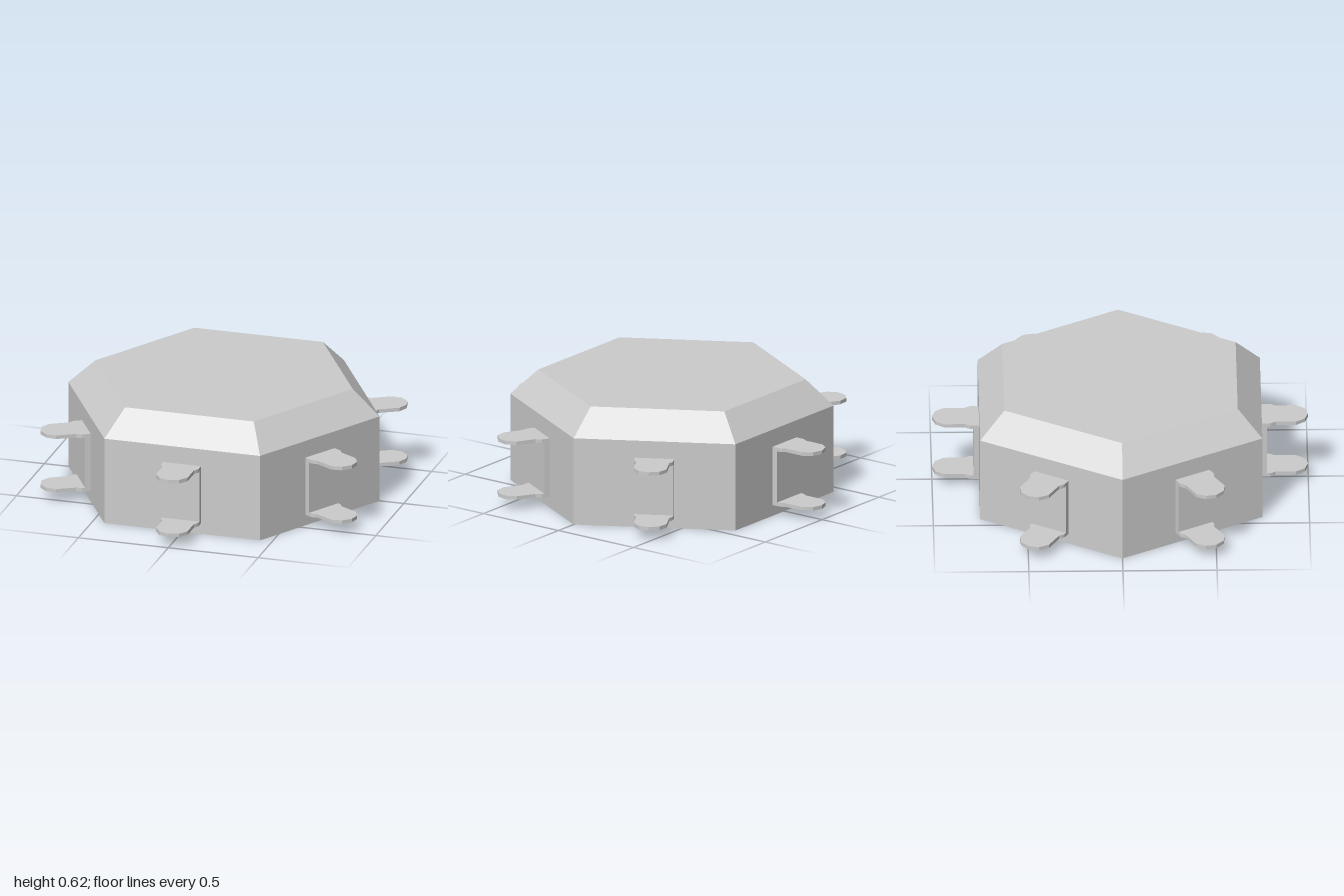
import * as THREE from 'three';

const material = new THREE.MeshStandardMaterial({ color: 0xcccccc, flatShading: true });

function part(name, geometry) {
  const mesh = new THREE.Mesh(geometry, material);
  mesh.name = name;
  return mesh;
}

// Flat lug: flared at the root, faceted round tip
function lugGeometry(thickness) {
  const half = [[0.105, 0.75], [0.105, 0.795], [0.098, 0.81], [0.088, 0.825], [0.088, 0.935], [0.055, 0.982]];
  const mirrored = half.map(([x, z]) => [-x, z]).reverse();
  const outline = [...half, [0, 1], ...mirrored].map(([x, z]) => new THREE.Vector2(x, z));
  const geometry = new THREE.ExtrudeGeometry(new THREE.Shape(outline), { depth: thickness, bevelEnabled: false });
  return geometry.rotateX(Math.PI / 2); // lies flat, top face at y = 0
}

export function createModel() {
  const model = new THREE.Group();
  model.name = 'hexagonalHub';

  // Hexagonal body with a chamfered top edge
  const profile = [[0, 0], [0.866, 0], [0.866, 0.48], [0.716, 0.62], [0, 0.62]]
    .map(([r, y]) => new THREE.Vector2(r, y));
  model.add(part('body', new THREE.LatheGeometry(profile, 6, Math.PI / 2)));

  // One clevis bracket on each side face
  const thickness = 0.02, bottom = 0.06, top = 0.385;
  const lug = lugGeometry(thickness);
  const plate = new THREE.BoxGeometry(0.21, top - bottom, 0.03);
  for (let i = 0; i < 6; i++) {
    const bracket = new THREE.Group();
    bracket.name = 'bracket' + (i + 1);

    const back = part('mountingPlate', plate);
    back.position.set(0, (top + bottom) / 2, 0.765);
    const upper = part('upperLug', lug);
    upper.position.y = top;
    const lower = part('lowerLug', lug);
    lower.position.y = bottom + thickness;

    bracket.add(back, upper, lower);
    bracket.rotation.y = i * Math.PI / 3;
    model.add(bracket);
  }
  return model;
}
